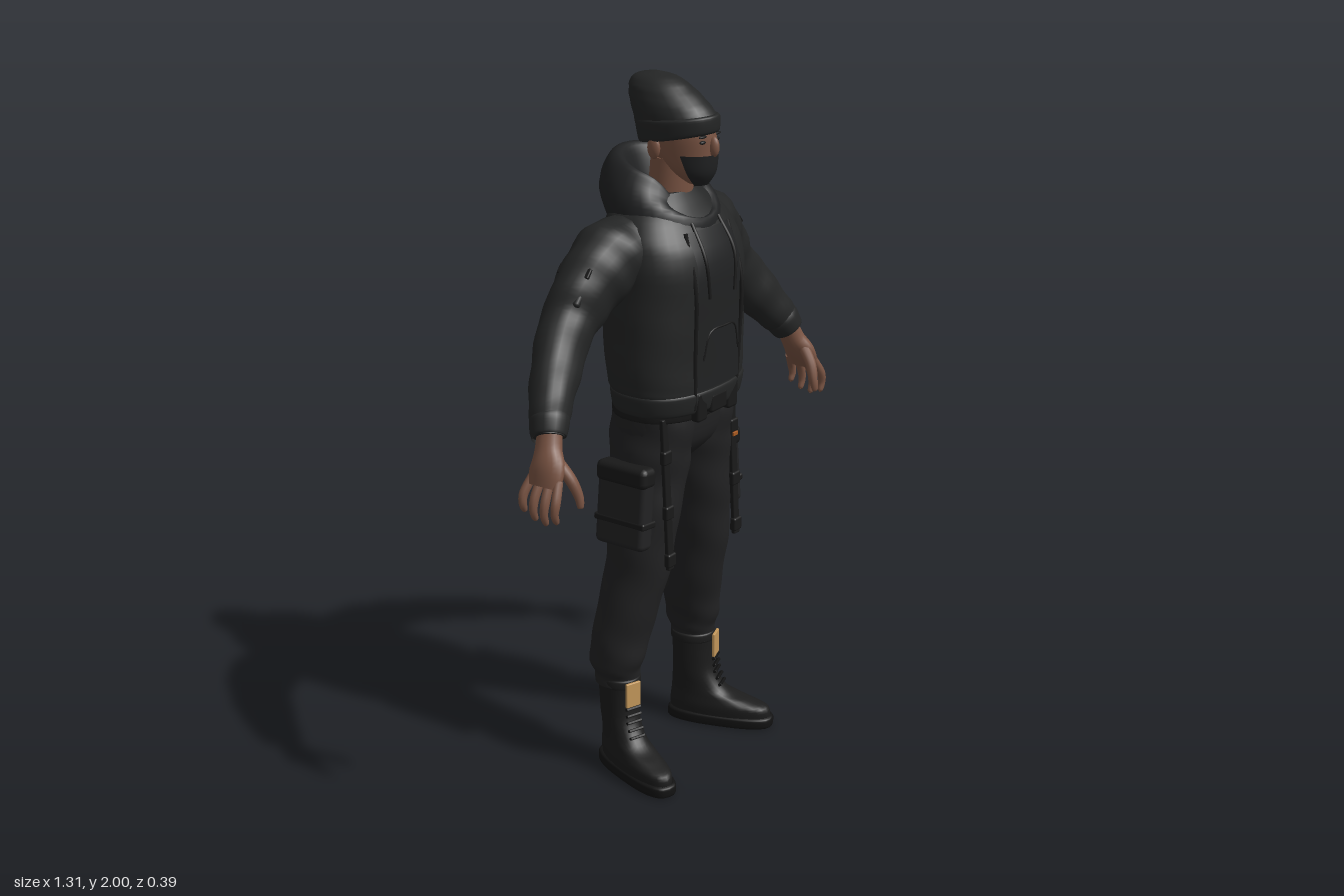
import * as THREE from 'three';
import { RoundedBoxGeometry } from 'three/addons/geometries/RoundedBoxGeometry.js';

const mat = (name, color, side = THREE.FrontSide) => {
  const m = new THREE.MeshStandardMaterial({ color, side });
  m.name = name;
  return m;
};

// Catmull-Rom through rows of numbers, u in 0..1
function sample(rows, u) {
  const f = Math.min(Math.max(u, 0), 1) * (rows.length - 1);
  const i = Math.min(Math.floor(f), rows.length - 2), t = f - i;
  const [p, a, b, q] = [i - 1, i, i + 1, i + 2].map(k => rows[Math.min(Math.max(k, 0), rows.length - 1)]);
  return Array.from({ length: 7 }, (_, k) => {
    const [P, A, B, Q] = [p, a, b, q].map(r => r[k] || 0);
    return A + 0.5 * t * (B - P + t * (2 * P - 5 * A + 4 * B - Q + t * (3 * (A - B) + Q - P)));
  });
}

// Skin over oval sections [x, y, z, radiusA, radiusB, tilt, frontDip].
// Sections lie flat (listed upwards) or, with along, square to the path.
function loft(rows, { along = false, seg = 28, steps = 5, pow = 1, wrinkle = 0, from = 0, to = 2 * Math.PI } = {}) {
  const n = (rows.length - 1) * steps, pos = [], idx = [];
  const T = new THREE.Vector3(0, 1, 0), N = new THREE.Vector3(1, 0, 0), B = new THREE.Vector3(0, 0, 1);
  const ringCentres = [];
  for (let i = 0; i <= n; i++) {
    const u = i / n, [x, y, z, a, b, tilt, dip] = sample(rows, u);
    if (along) {
      const s0 = sample(rows, u - 0.02), s1 = sample(rows, u + 0.02);
      T.set(s1[0] - s0[0], s1[1] - s0[1], s1[2] - s0[2]).normalize();
      B.set(0, 0, 1).addScaledVector(T, -T.z).normalize();
      N.crossVectors(T, B);
    }
    ringCentres.push([x, y, z]);
    for (let j = 0; j <= seg; j++) {
      const th = from + (to - from) * j / seg, c = Math.cos(th), s = Math.sin(th);
      const k = 1 + wrinkle * (Math.sin(u * 47 + 2 * s + c) + 0.7 * Math.sin(u * 29 - 3 * c));
      const A = Math.sign(c) * Math.abs(c) ** pow * a * k, D = Math.sign(s) * Math.abs(s) ** pow * b * k;
      pos.push(x + N.x * A + B.x * D,
        y + N.y * A + B.y * D + tilt * D - dip * Math.max(0, s) ** 4,
        z + N.z * A + B.z * D);
    }
  }
  const w = seg + 1;
  for (let i = 0; i < n; i++) for (let j = 0; j < seg; j++) {
    const p = i * w + j;
    idx.push(p, p + w, p + 1, p + 1, p + w, p + w + 1);
  }
  // end caps on their own vertices
  if (to - from > 6) for (const r of [0, n]) {
    const base = pos.length / 3;
    pos.push(...pos.slice(r * w * 3, (r + 1) * w * 3), ...ringCentres[r]);
    for (let j = 0; j < seg; j++) idx.push(base + w, base + j + (r ? 1 : 0), base + j + (r ? 0 : 1));
  }
  const g = new THREE.BufferGeometry();
  g.setAttribute('position', new THREE.Float32BufferAttribute(pos, 3));
  g.setIndex(idx);
  g.computeVertexNormals();
  // join the normals along the seam
  if (to - from > 6) for (let i = 0; i <= n; i++) {
    const nn = g.attributes.normal, v = new THREE.Vector3().fromBufferAttribute(nn, i * w)
      .add(new THREE.Vector3().fromBufferAttribute(nn, i * w + seg)).normalize();
    nn.setXYZ(i * w, v.x, v.y, v.z);
    nn.setXYZ(i * w + seg, v.x, v.y, v.z);
  }
  return g;
}

const TORSO = [[0, 1.1, .025, .205, .135], [0, 1.15, .025, .215, .145], [0, 1.2, .018, .225, .152], [0, 1.35, .012, .225, .16],
  [0, 1.5, .01, .222, .162], [0, 1.58, -.005, .21, .148], [0, 1.64, -.02, .17, .12], [0, 1.69, -.03, .11, .09]];
const POW = 0.85;

// Depth of the jacket front at x, y
function chestZ(x, y) {
  let lo = 0, hi = 1;
  for (let i = 0; i < 24; i++) {
    const m = (lo + hi) / 2;
    if (sample(TORSO, m)[1] < y) lo = m; else hi = m;
  }
  const s = sample(TORSO, lo);
  return s[2] + s[4] * Math.max(0, 1 - Math.abs(x / s[3]) ** (2 / POW)) ** (POW / 2);
}

export function createModel() {
  const root = new THREE.Group();
  const M = {
    jacket: mat('jacket black', 0x242525), hoodie: mat('hoodie black', 0x202122, THREE.DoubleSide),
    pants: mat('trouser black', 0x222223), gear: mat('strap black', 0x191919),
    boot: mat('boot black', 0x1c1c1c), sole: mat('sole black', 0x121212),
    skin: mat('skin brown', 0x7a5443), tan: mat('tan patch', 0xc2965a), orange: mat('orange tag', 0xa85a20)
  };
  const add = (name, geo, m, parent = root) => {
    const mesh = new THREE.Mesh(geo, m);
    mesh.name = name;
    parent.add(mesh);
    return mesh;
  };
  const box = (name, m, size, at, rot = [0, 0, 0], parent = root) => {
    const b = add(name, new RoundedBoxGeometry(...size, 2, Math.min(...size) * 0.3), m, parent);
    b.position.set(...at);
    b.rotation.set(...rot);
    return b;
  };
  const ball = (name, m, size, at) => {
    const b = add(name, new THREE.SphereGeometry(1, 16, 10), m);
    b.scale.set(...size);
    b.position.set(...at);
  };
  // Thin panel laid on the chest
  const patch = (name, m, x0, x1, y0, y1, off) => {
    const g = new THREE.PlaneGeometry(x1 - x0, y1 - y0, 10, 10), p = g.attributes.position;
    g.translate((x0 + x1) / 2, (y0 + y1) / 2, 0);
    for (let i = 0; i < p.count; i++) p.setZ(i, chestZ(p.getX(i), p.getY(i)) + off);
    g.computeVertexNormals();
    add(name, g, m);
  };
  const cord = (name, m, pts, r, off = 0.004) => add(name, new THREE.TubeGeometry(
    new THREE.CatmullRomCurve3(pts.map(([x, y]) => new THREE.Vector3(x, y, chestZ(x, y) + off))), 20, r, 6), m);

  // Jacket, hem and open front
  add('jacket body', loft(TORSO, { pow: POW, seg: 40, wrinkle: .005 }), M.jacket);
  add('jacket hem', loft([[0, 1.095, .025, .2, .13], [0, 1.105, .025, .212, .142], [0, 1.15, .025, .22, .149],
    [0, 1.16, .024, .212, .142]], { pow: POW, seg: 40 }), M.jacket);
  patch('hoodie front', M.hoodie, -.1, .09, 1.165, 1.6, .004);
  patch('hoodie pouch', M.hoodie, -.085, .075, 1.2, 1.33, .009);
  cord('pouch seam', M.gear, [[-.085, 1.25], [-.06, 1.325], [0, 1.332], [.05, 1.325], [.075, 1.25]], .003, .009);
  for (const x of [-.1, .09]) cord('jacket zip', M.gear, [[x, 1.11], [x * 1.08, 1.3], [x * 1.1, 1.45], [x, 1.6]], .006);
  for (const x of [-.065, .055]) {
    cord('drawstring', M.gear, [[x, 1.62], [x * 1.1, 1.53], [x * .95, 1.42]], .005, .007);
  }

  // Hood lying on the shoulders
  add('hood', loft([[0, 1.57, 0, .17, .135], [0, 1.67, -.037, .165, .16, -.1, .03], [0, 1.735, -.045, .137, .128, -.33, .08],
    [0, 1.756, -.032, .108, .1, -.35, .1], [0, 1.7, -.02, .085, .085, -.35, .08], [0, 1.61, -.01, .07, .065]], { seg: 36 }), M.hoodie);

  // Head
  add('neck', loft([[0, 1.58, -.01, .068, .06], [0, 1.66, 0, .063, .062], [0, 1.78, .01, .06, .06]]), M.skin);
  const HEAD = [[0, 1.715, .088, .025, .025], [0, 1.75, .068, .054, .066], [0, 1.8, .042, .068, .098],
    [0, 1.86, .03, .074, .108], [0, 1.92, .01, .068, .1]];
  add('head', loft(HEAD), M.skin);
  add('face mask', loft(HEAD.slice(0, 3).map(([x, y, z, a, b]) => [x, y - .003, z, a + .006, b + .007]),
    { from: .12 * Math.PI, to: .88 * Math.PI }), M.hoodie);
  ball('nose', M.skin, [.013, .028, .016], [0, 1.818, .143]);
  for (const s of [-1, 1]) {
    ball('ear', M.skin, [.011, .03, .02], [s * .074, 1.81, .0]);
    ball('eye', M.gear, [.013, .005, .006], [s * .031, 1.833, .129]);
    ball('eyebrow', M.gear, [.018, .004, .006], [s * .032, 1.848, .13]);
  }
  // Beanie with cuff
  add('beanie', loft([[0, 1.835, .028, .078, .112, .2], [0, 1.87, .024, .086, .122, .12], [0, 1.92, .0, .083, .118],
    [0, 1.962, -.03, .068, .094], [0, 1.988, -.045, .044, .064], [0, 2, -.05, .008, .012]], { wrinkle: .008 }), M.jacket);
  add('beanie cuff', loft([[0, 1.832, .03, .079, .112, .2], [0, 1.84, .029, .086, .119, .2],
    [0, 1.88, .024, .09, .124, .13], [0, 1.888, .02, .084, .12, .12]]), M.jacket);
  box('beanie tag', M.orange, [.016, .012, .006], [0, 1.905, .123], [-.4, 0, 0]);

  // Waist, belt
  add('pelvis', loft([[0, .925, 0, .08, .06], [0, 1, .002, .18, .12], [0, 1.13, .01, .19, .125]], { pow: POW }), M.pants);
  add('belt', loft([[0, 1.075, .012, .19, .132], [0, 1.08, .012, .196, .14], [0, 1.115, .014, .196, .142], [0, 1.12, .014, .19, .135]],
    { pow: POW }), M.gear);
  box('buckle', M.gear, [.075, .055, .03], [-.005, 1.115, .158]);
  for (const x of [-.075, .07]) box('belt pouch', M.gear, [.045, .085, .03], [x, 1.115, .152]);

  for (const s of [-1, 1]) {
    const side = s > 0 ? 'left' : 'right';
    const flip = rows => rows.map(([x, ...r]) => [s * x, ...r]);
    const along = { along: true, seg: 20 };

    // Arm
    add(side + ' sleeve', loft(flip([[.14, 1.56, -.03, .085, .1], [.22, 1.525, -.045, .108, .1], [.3, 1.465, -.055, .098, .084],
      [.38, 1.38, -.06, .083, .072], [.47, 1.28, -.03, .073, .064], [.54, 1.195, .005, .056, .054], [.562, 1.163, .018, .047, .049]]),
      { ...along, steps: 8, wrinkle: .022 }), M.jacket);
    add(side + ' cuff', loft(flip([[.545, 1.19, .008, .05, .05], [.55, 1.182, .012, .054, .053], [.568, 1.152, .022, .047, .049],
      [.571, 1.147, .024, .04, .043]]), along), M.jacket);
    box(side + ' sleeve pocket', M.jacket, [.03, .11, .1], [s * .362, 1.485, -.055], [0, 0, s * .72]);
    box(side + ' sleeve pocket flap', M.gear, [.012, .03, .104], [s * .35, 1.525, -.055], [0, 0, s * .72]);

    // Hand
    add(side + ' palm', loft(flip([[.555, 1.18, .02, .03, .034], [.58, 1.12, .032, .031, .038], [.603, 1.075, .045, .029, .052],
      [.622, 1.03, .046, .019, .051]]), along), M.skin);
    for (let i = 0; i < 4; i++) {
      const z = .004 + i * .028, l = [.8, .95, 1, .9][i], zz = z + (i - 1.3) * .007;
      add(side + ' finger', loft(flip([[.612, 1.05, z, .013, .013], [.638, 1.05 - .05 * l, zz, .013, .013],
        [.645, 1.05 - .085 * l, zz, .011, .011], [.637, 1.05 - .112 * l, zz, .008, .008], [.635, 1.05 - .116 * l, zz, .002, .002]]),
        { along: true, seg: 10 }), M.skin);
    }
    add(side + ' thumb', loft(flip([[.59, 1.1, .06, .018, .018], [.578, 1.05, .1, .016, .016], [.568, 1.005, .118, .013, .013],
      [.567, .975, .124, .009, .009], [.567, .97, .125, .002, .002]]), { along: true, seg: 10 }), M.skin);

    // Trouser leg
    add(side + ' trouser leg', loft(flip([[.187, .27, -.05, .06, .067], [.187, .3, -.052, .06, .068], [.187, .35, -.052, .073, .082],
      [.168, .45, -.04, .082, .088], [.147, .6, -.012, .081, .096], [.13, .75, 0, .089, .104], [.104, .9, 0, .1, .115],
      [.095, 1, .005, .098, .124], [.095, 1.09, .01, .093, .124]]), { steps: 8, wrinkle: .017 }), M.pants);
    box(side + ' cargo pocket', M.pants, [.055, .23, .165], [s * .212, .83, .0], [0, 0, s * .1]);
    box(side + ' cargo flap', M.gear, [.062, .06, .172], [s * .207, .925, .0], [0, 0, s * .1]);
    box(side + ' pocket strap', M.gear, [.062, .02, .172], [s * .214, .79, .0], [0, 0, s * .1]);

    // Hanging strap
    box(side + ' hanging strap', M.gear, [.026, .44, .014], [s * .162, .87, .106], [-.05, 0, 0]);
    for (const y of [.68, .82, .98]) box(side + ' strap buckle', M.gear, [.036, .04, .02], [s * .162, y, .108 + (y - .87) * -.05]);
    if (s > 0) box('strap tag', M.orange, [.022, .012, .006], [.162, .955, .112]);

    // Boot, toes turned out
    const boot = new THREE.Group();
    boot.name = side + ' boot';
    boot.position.set(s * .185, 0, -.045);
    boot.rotation.y = s * .33;
    root.add(boot);
    add('sole', loft([[0, 0, .085, .05, .155], [0, .006, .085, .057, .163], [0, .028, .085, .057, .163], [0, .034, .085, .05, .155]],
      { pow: .75 }), M.sole, boot);
    add('boot upper', loft([[0, .03, .085, .052, .155], [0, .06, .08, .054, .152], [0, .09, .055, .05, .122, -.1],
      [0, .125, .022, .048, .086, -.25], [0, .17, .002, .05, .064, -.1], [0, .23, -.002, .053, .061], [0, .29, -.002, .056, .064]],
      { pow: .9 }), M.boot, boot);
    add('boot collar', loft([[0, .265, -.002, .054, .062], [0, .27, -.002, .06, .067], [0, .29, -.002, .06, .067],
      [0, .295, -.002, .054, .062]]), M.boot, boot);
    for (let i = 0; i < 5; i++) box('lace', M.sole, [.05, .008, .012], [0, .125 + i * .021, .089 - i * .008 + (i > 2 ? (i - 2) * .006 : 0)], [-.5, 0, 0], boot);
    box('tan tongue patch', M.tan, [.048, .075, .009], [0, .252, .068], [0, 0, 0], boot);
  }
  return root;
}
